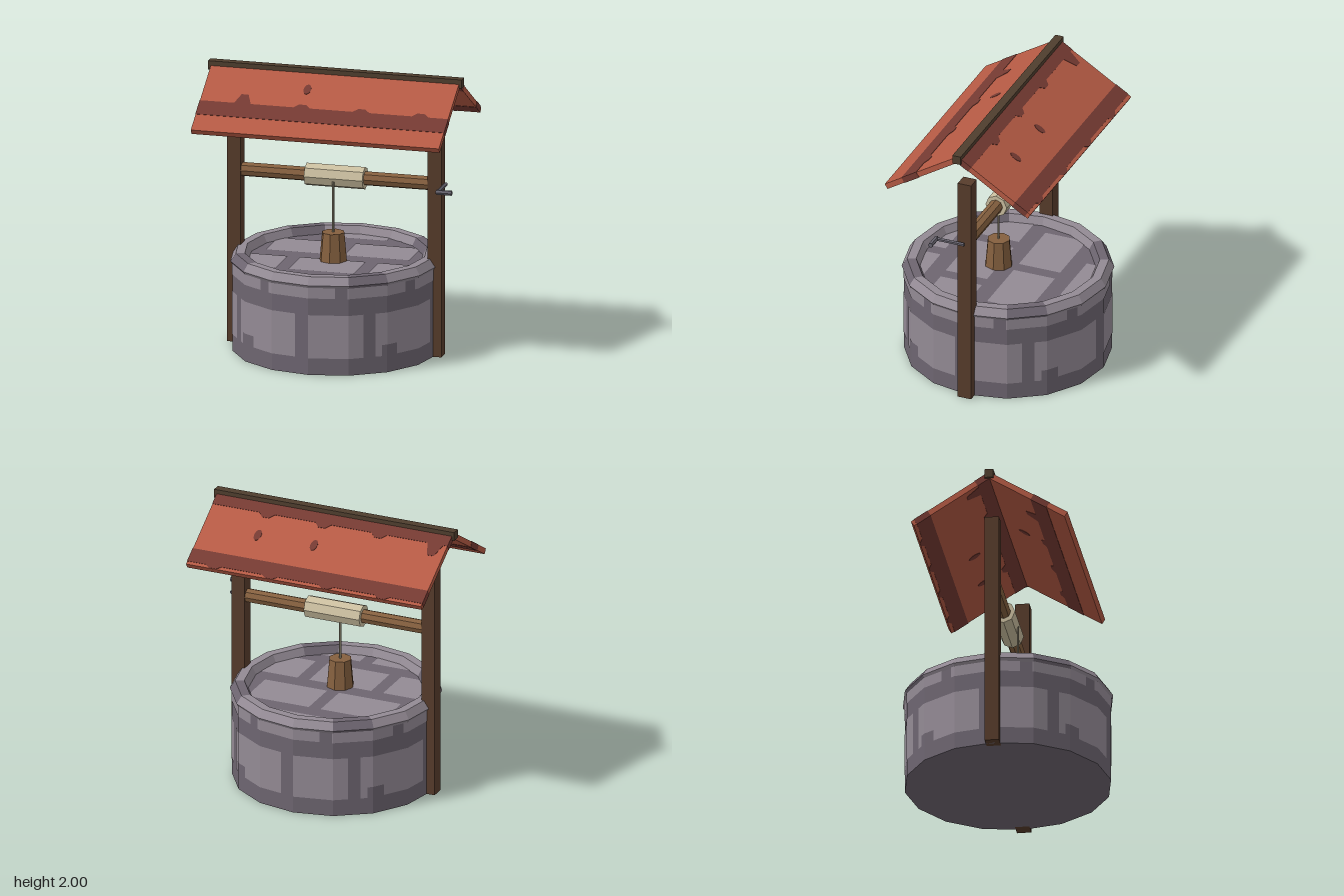
import * as THREE from 'three';

const mat = (name, color) => Object.assign(new THREE.MeshStandardMaterial({ color, flatShading: true, side: THREE.DoubleSide }), { name });

export function createModel() {
  const stone = mat('light stone', 0x938a94);
  const mortar = mat('dark stone', 0x6d6570);
  const roofRed = mat('roof red', 0xb55a44);
  const roofDark = mat('dark roof red', 0x753a32);
  const postWood = mat('dark wood', 0x573c2b);
  const ridgeWood = mat('ridge wood', 0x4f3e2e);
  const wood = mat('warm wood', 0x85603f);
  const cream = mat('coiled rope', 0xcabe9f);
  const ropeMat = mat('rope', 0x98907a);
  const metal = mat('metal', 0x67646f);

  const model = new THREE.Group();
  const add = (name, geo, material, x = 0, y = 0, z = 0, parent = model) => {
    const m = new THREE.Mesh(geo, material);
    m.name = name;
    m.position.set(x, y, z);
    parent.add(m);
    return m;
  };
  const rod = (r, len, sides, axis) => {
    const g = new THREE.CylinderGeometry(r, r, len, sides);
    return axis === 'x' ? g.rotateZ(Math.PI / 2) : axis === 'z' ? g.rotateX(Math.PI / 2) : g;
  };

  // Well body: a 16-sided drum
  const N = 16, R = 0.72, H = 0.645, step = (Math.PI * 2) / N;
  add('wellBody', new THREE.CylinderGeometry(R, R, H, N), mortar, 0, H / 2, 0);

  // Wall bricks: thin strips that follow the drum's facets (angles in degrees from the front)
  const wallBrick = (deg0, deg1, y0, y1) => {
    const a0 = THREE.MathUtils.degToRad(deg0), a1 = THREE.MathUtils.degToRad(deg1);
    const angles = [a0];
    for (let k = Math.floor(a0 / step) + 1; k * step < a1 - 1e-4; k++) angles.push(k * step);
    angles.push(a1);
    const pos = [], idx = [];
    angles.forEach((a, i) => {
      const mid = (Math.floor(a / step + 1e-6) + 0.5) * step;
      const r = (R + 0.003) * Math.cos(step / 2) / Math.cos(a - mid);
      for (const y of [y0, y1]) pos.push(r * Math.sin(a), y, r * Math.cos(a));
      if (i) {
        const b = 2 * i - 2;
        idx.push(b, b + 2, b + 1, b + 1, b + 2, b + 3);
      }
    });
    const g = new THREE.BufferGeometry();
    g.setAttribute('position', new THREE.Float32BufferAttribute(pos, 3));
    g.setIndex(idx);
    g.computeVertexNormals();
    add('wallBrick', g, stone);
  };
  for (let q = 0; q < 360; q += 90) {
    wallBrick(q, q + 31, 0.12, 0.43);
    wallBrick(q + 38, q + 82, 0.2, 0.43);
    wallBrick(q + 38, q + 42, 0.12, 0.2);
    wallBrick(q + 52, q + 82, 0.12, 0.2);
    wallBrick(q + 22, q + 58, 0.55, 0.63);
    wallBrick(q + 65, q + 105, 0.55, 0.63);
  }

  // Floor bricks: rows clipped to the drum's outline
  const discBricks = (name, y, radius) => {
    for (let row = -2; row <= 1; row++) {
      const z0 = row * 0.43 + 0.06, z1 = z0 + 0.31;
      for (let col = -2; col <= 2; col++) {
        const x0 = col * 0.56 + (row & 1 ? 0.28 : 0) - 0.24, upper = [], lower = [];
        for (let i = 0; i <= 24; i++) {
          const x = x0 + (i / 24) * 0.47;
          const h = Math.sqrt(Math.max(0, radius * radius - x * x));
          const lo = Math.max(z0, -h), hi = Math.min(z1, h);
          if (hi <= lo) continue;
          lower.push(new THREE.Vector2(x, -lo));
          upper.unshift(new THREE.Vector2(x, -hi));
        }
        if (lower.length < 2) continue;
        add(name, new THREE.ShapeGeometry(new THREE.Shape([...lower, ...upper])).rotateX(-Math.PI / 2), stone, 0, y, 0);
      }
    }
  };
  discBricks('topBrick', H + 0.003, 0.63);
  discBricks('undersideBrick', 0.001, 0.705);

  // Rim stones
  const rim = [[0.7, 0.59], [0.735, 0.645], [0.698, 0.7], [0.635, 0.7], [0.605, 0.643]].map(p => new THREE.Vector2(...p));
  for (let i = 0; i < N; i++) {
    add('rimStone', new THREE.LatheGeometry(rim, 1, i * step, step), i % 4 === 1 ? mortar : stone);
  }

  // Posts
  for (const s of [1, -1]) add(s > 0 ? 'leftPost' : 'rightPost', new THREE.BoxGeometry(0.1, 1.7, 0.1), postWood, s * 0.72, 0.85, 0);

  // Roof: two slabs with darker tile bands and chips; local z runs down the slope
  add('ridgeBeam', new THREE.BoxGeometry(1.82, 0.062, 0.062), ridgeWood, 0, 1.969, 0);
  const T = 0.04, W = 0.89;
  const roofPlate = (shape, parent) => {
    const g = new THREE.ExtrudeGeometry(shape, { depth: T + 0.005, bevelEnabled: false });
    add('darkTiles', g.rotateX(Math.PI / 2), roofDark, 0, T / 2 + 0.0025, 0, parent);
  };
  // Band between flat edge s0 and bumpy edge s1; bumps are [x, height]
  const band = (parent, s0, s1, bumps) => {
    const w = W + 0.002, pts = [[-w, s0], [-w, s1]];
    for (const [c, h] of bumps) pts.push([c - 0.06, s1], [c - 0.025, s1 + h], [c + 0.025, s1 + h], [c + 0.06, s1]);
    pts.push([w, s1], [w, s0]);
    roofPlate(new THREE.Shape(pts.map(p => new THREE.Vector2(...p))), parent);
  };
  const chip = (parent, x, s) => {
    const shape = new THREE.Shape();
    shape.absellipse(x, s, 0.026, 0.045, 0, Math.PI * 2);
    roofPlate(shape, parent);
  };
  const slopes = [1, -1].map(s => {
    const g = new THREE.Group();
    g.name = s > 0 ? 'frontRoof' : 'backRoof';
    g.position.y = 1.962;
    g.rotation.x = s * 0.556;
    add('roofSlab', new THREE.BoxGeometry(W * 2, T, 0.632), roofRed, 0, 0, s * 0.316, g);
    model.add(g);
    return g;
  });
  band(slopes[0], 0.483, 0.353, [[-0.585, -0.085], [-0.16, -0.03], [0.265, -0.03], [0.69, -0.03]]);
  chip(slopes[0], -0.16, 0.178);
  band(slopes[1], 0, -0.108, [[-0.8, -0.1], [-0.375, -0.035], [0.05, -0.035], [0.475, -0.035]]);
  band(slopes[1], -0.495, -0.607, [[-0.585, -0.023], [-0.16, -0.023], [0.265, -0.023], [0.69, -0.023]]);
  chip(slopes[1], 0.05, -0.295);
  chip(slopes[1], 0.475, -0.295);

  // Winch: axle, coil and crank
  const axleY = 1.232;
  add('axle', rod(0.05, 1.36, 8, 'x'), wood, 0, axleY, 0);
  add('ropeCoil', rod(0.08, 0.42, 8, 'x'), cream, 0, axleY, 0);
  add('crankArm', rod(0.014, 0.21, 6, 'z'), metal, 0.788, axleY, 0.1);
  add('crankHandle', rod(0.018, 0.112, 6, 'x'), metal, 0.832, axleY, 0.205);

  // Rope and bucket
  add('rope', rod(0.008, 0.38, 6, 'y'), ropeMat, 0, 1.02, 0.07);
  add('bucket', new THREE.CylinderGeometry(0.08, 0.098, 0.205, 8), wood, 0, 0.7475, 0.07);

  return model;
}
